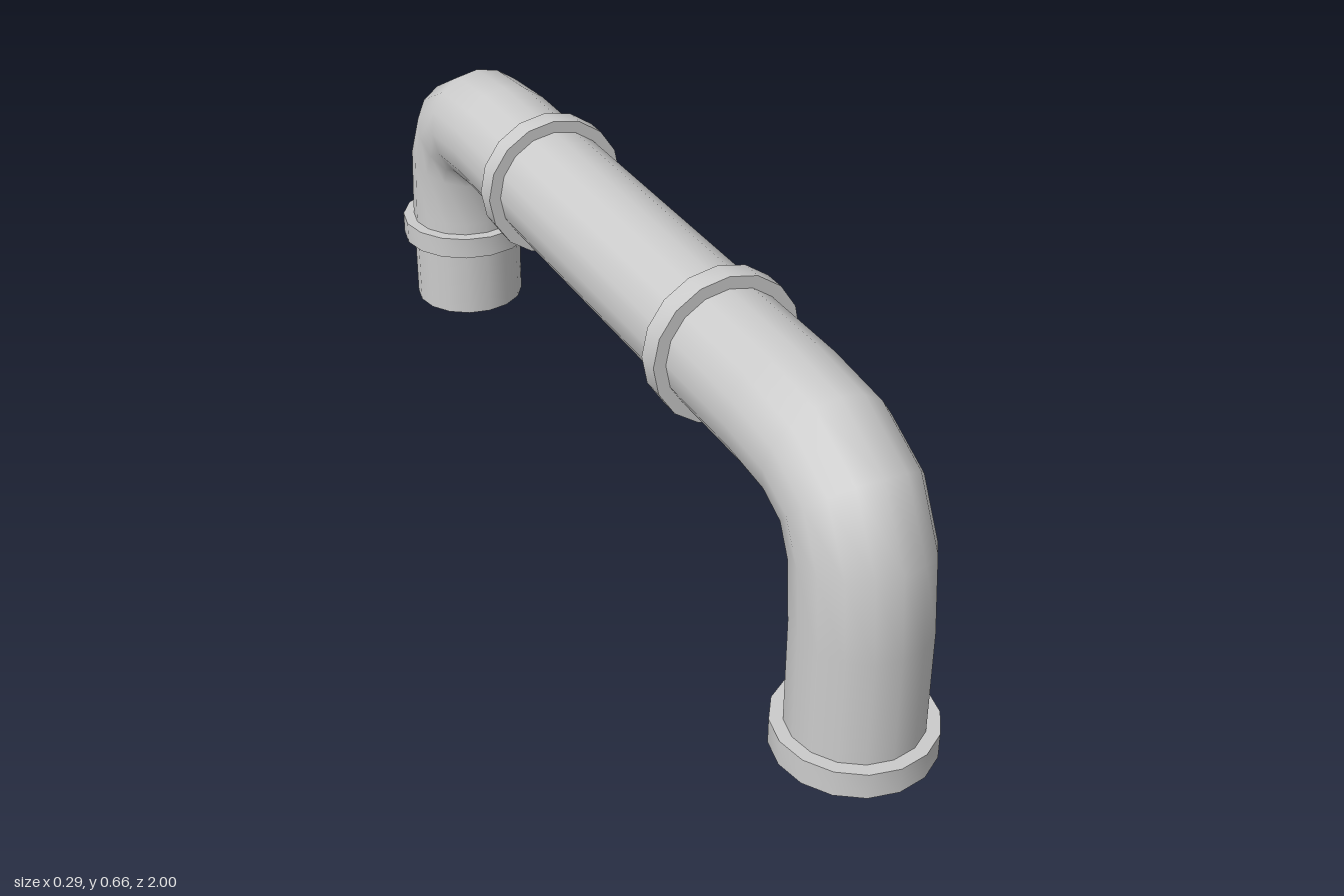
import * as THREE from 'three';
import { toCreasedNormals } from 'three/addons/utils/BufferGeometryUtils.js';

const SIDES = 16, R = 0.121, COLLAR_R = 0.145, TOP = 0.513, LEG_Z = 0.855;
const BEND = 0.258, HANDLE = 0.053; // bend reach and handle, measured from the corner

const material = new THREE.MeshStandardMaterial({ color: 0xcccccc, side: THREE.DoubleSide });

// Path stations {y, z, angle}: angle 0 runs up, 90 degrees runs back, 180 runs down
function pipeStations() {
  const bend = new THREE.CubicBezierCurve(
    new THREE.Vector2(LEG_Z, TOP - BEND), new THREE.Vector2(LEG_Z, TOP - HANDLE),
    new THREE.Vector2(LEG_Z - HANDLE, TOP), new THREE.Vector2(LEG_Z - BEND, TOP));
  const front = [{ y: 0.04, z: LEG_Z, angle: 0 }], back = [{ y: 0.03, z: -LEG_Z, angle: Math.PI }];
  for (let i = 0; i <= 4; i++) {
    const p = bend.getPoint(i / 4), t = bend.getTangent(i / 4);
    const angle = Math.atan2(-t.x, t.y);
    front.push({ y: p.y, z: p.x, angle });
    back.push({ y: p.y, z: -p.x, angle: Math.PI - angle });
  }
  return [...front, ...back.reverse()];
}

// Sweep a round section through the stations
function sweepPipe(stations) {
  const pos = [], nor = [], index = [], row = SIDES + 1;
  stations.forEach(({ y, z, angle }, i) => {
    for (let j = 0; j <= SIDES; j++) {
      const a = (j / SIDES) * Math.PI * 2;
      const n = [Math.sin(a), Math.cos(a) * Math.sin(angle), Math.cos(a) * Math.cos(angle)];
      nor.push(...n);
      pos.push(R * n[0], y + R * n[1], z + R * n[2]);
      if (i < stations.length - 1 && j < SIDES) {
        const k = i * row + j;
        index.push(k, k + 1, k + row, k + 1, k + row + 1, k + row);
      }
    }
  });
  const g = new THREE.BufferGeometry();
  g.setAttribute('position', new THREE.Float32BufferAttribute(pos, 3));
  g.setAttribute('normal', new THREE.Float32BufferAttribute(nor, 3));
  g.setIndex(index);
  return g;
}

// Raised band around the pipe; an open one has no lower face
function collarGeometry(height, open) {
  const h = height / 2;
  const profile = [[COLLAR_R, -h], [COLLAR_R, h], [R, h]];
  if (!open) profile.unshift([R, -h]);
  const lathe = new THREE.LatheGeometry(profile.map(([x, y]) => new THREE.Vector2(x, y)), SIDES);
  return toCreasedNormals(lathe, 0.6);
}

export function createModel() {
  const group = new THREE.Group();
  const add = (name, geometry, y, z, rx = 0) => {
    const mesh = new THREE.Mesh(geometry, material);
    mesh.name = name;
    mesh.position.set(0, y, z);
    mesh.rotation.x = rx;
    group.add(mesh);
  };

  add('pipe', sweepPipe(pipeStations()), 0, 0);

  // Collars on the legs and on the horizontal run
  add('frontFootCollar', collarGeometry(0.05, true), 0.025, LEG_Z);
  add('backLegCollar', collarGeometry(0.047, false), 0.208, -LEG_Z);
  for (const s of [1, -1]) {
    add(s > 0 ? 'frontRunCollar' : 'backRunCollar', collarGeometry(0.045, false), TOP, s * 0.365, Math.PI / 2);
  }

  // Recessed plug under the front leg
  add('frontFootPlug', new THREE.CircleGeometry(R, SIDES), 0.04, LEG_Z, Math.PI / 2);
  return group;
}
